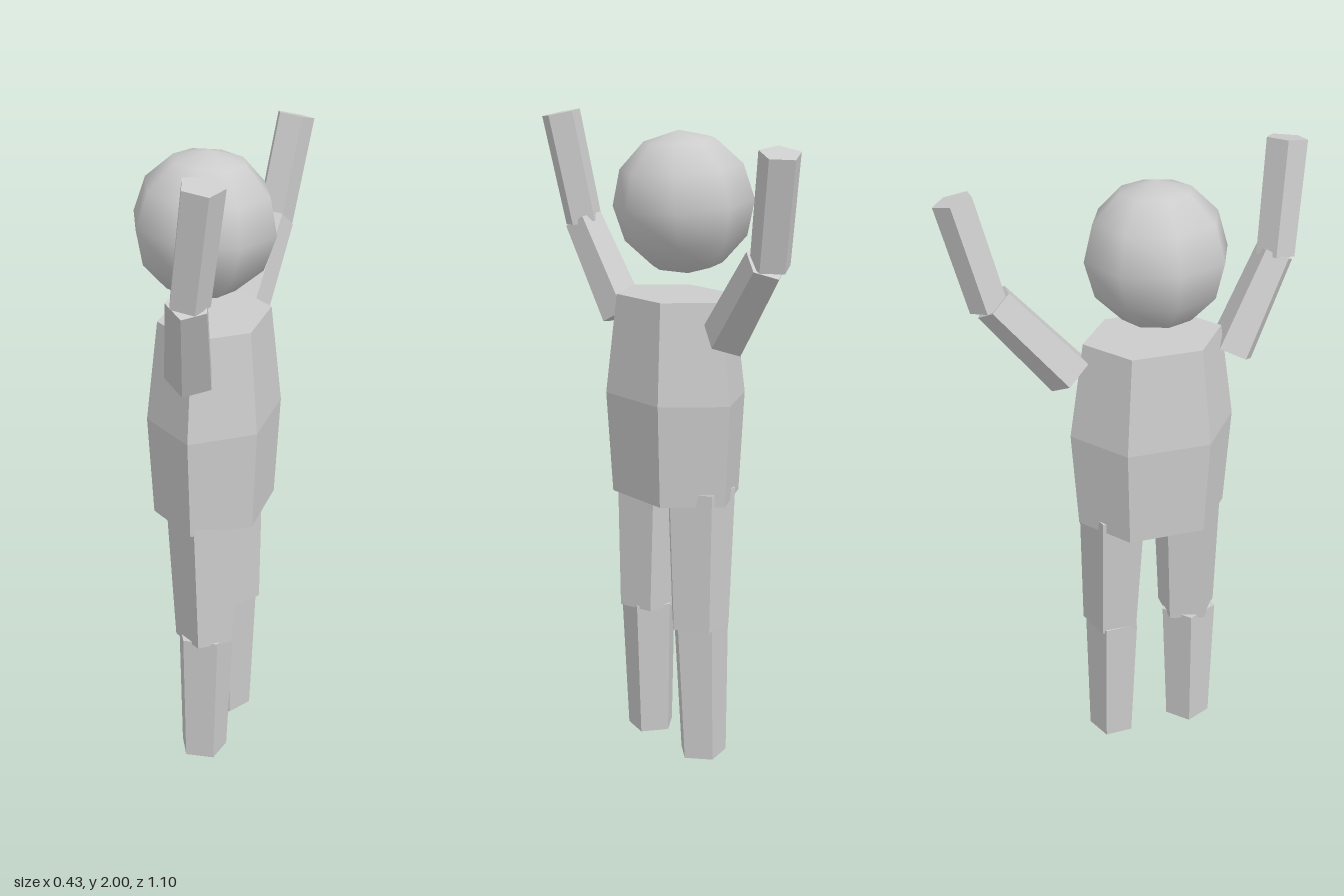
import * as THREE from 'three';

const grey = new THREE.MeshStandardMaterial({ color: 0xcccccc });
grey.name = 'plain grey';

// Faceted mesh: split the faces so every one has its own normal
function faceted(geometry, name) {
  const g = geometry.toNonIndexed();
  g.computeVertexNormals();
  const mesh = new THREE.Mesh(g, grey);
  mesh.name = name;
  return mesh;
}

// Tapered five-sided limb segment between two points
function limb(name, from, to, r0, r1, roll = 0) {
  const a = new THREE.Vector3(...from);
  const b = new THREE.Vector3(...to);
  const dir = b.clone().sub(a);
  const g = new THREE.CylinderGeometry(r1, r0, dir.length(), 5);
  g.rotateY(roll);
  const mesh = faceted(g, name);
  mesh.position.copy(a).add(b).multiplyScalar(0.5);
  mesh.quaternion.setFromUnitVectors(new THREE.Vector3(0, 1, 0), dir.normalize());
  return mesh;
}

export function createModel() {
  const model = new THREE.Group();
  model.name = 'figure';

  // Head: smooth low-segment ball, slightly tilted
  const head = new THREE.Mesh(new THREE.SphereGeometry(0.215, 8, 6), grey);
  head.name = 'head';
  head.position.set(0, 1.737, 0.057);
  head.rotation.z = -0.08;
  model.add(head);

  // Torso: six-sided, flattened across x, widest at the chest
  const profile = [[0, 0.845], [0.238, 0.845], [0.259, 1.16], [0.215, 1.465], [0, 1.465]]
    .map(([r, y]) => new THREE.Vector2(r, y));
  const torso = faceted(new THREE.LatheGeometry(profile, 6).scale(0.756, 1, 1), 'torso');
  torso.position.set(0.032, 0, 0.058);
  model.add(torso);

  // Legs: thigh and shin, hip / knee / foot z for each
  for (const [side, hip, knee, foot] of [['front', 0.178, 0.185, 0.189], ['back', -0.06, -0.07, -0.077]]) {
    model.add(
      limb(side + 'Thigh', [0.037, 0.88, hip], [0.047, 0.44, knee], 0.113, 0.096),
      limb(side + 'Shin', [0.04, 0.45, knee + 0.002], [0.035, 0.003, foot], 0.091, 0.076),
    );
  }

  // Raised arms, one to each side along z
  model.add(
    limb('frontUpperArm', [0.04, 1.37, 0.31], [0.085, 1.655, 0.457], 0.073, 0.062),
    limb('frontForearm', [0.085, 1.65, 0.456], [0.137, 1.988, 0.497], 0.06, 0.063, Math.PI),
    limb('backUpperArm', [0.04, 1.37, -0.195], [0.075, 1.615, -0.405], 0.075, 0.064, Math.PI),
    limb('backForearm', [0.072, 1.605, -0.418], [0.112, 1.92, -0.497], 0.06, 0.061, Math.PI),
  );
  return model;
}
